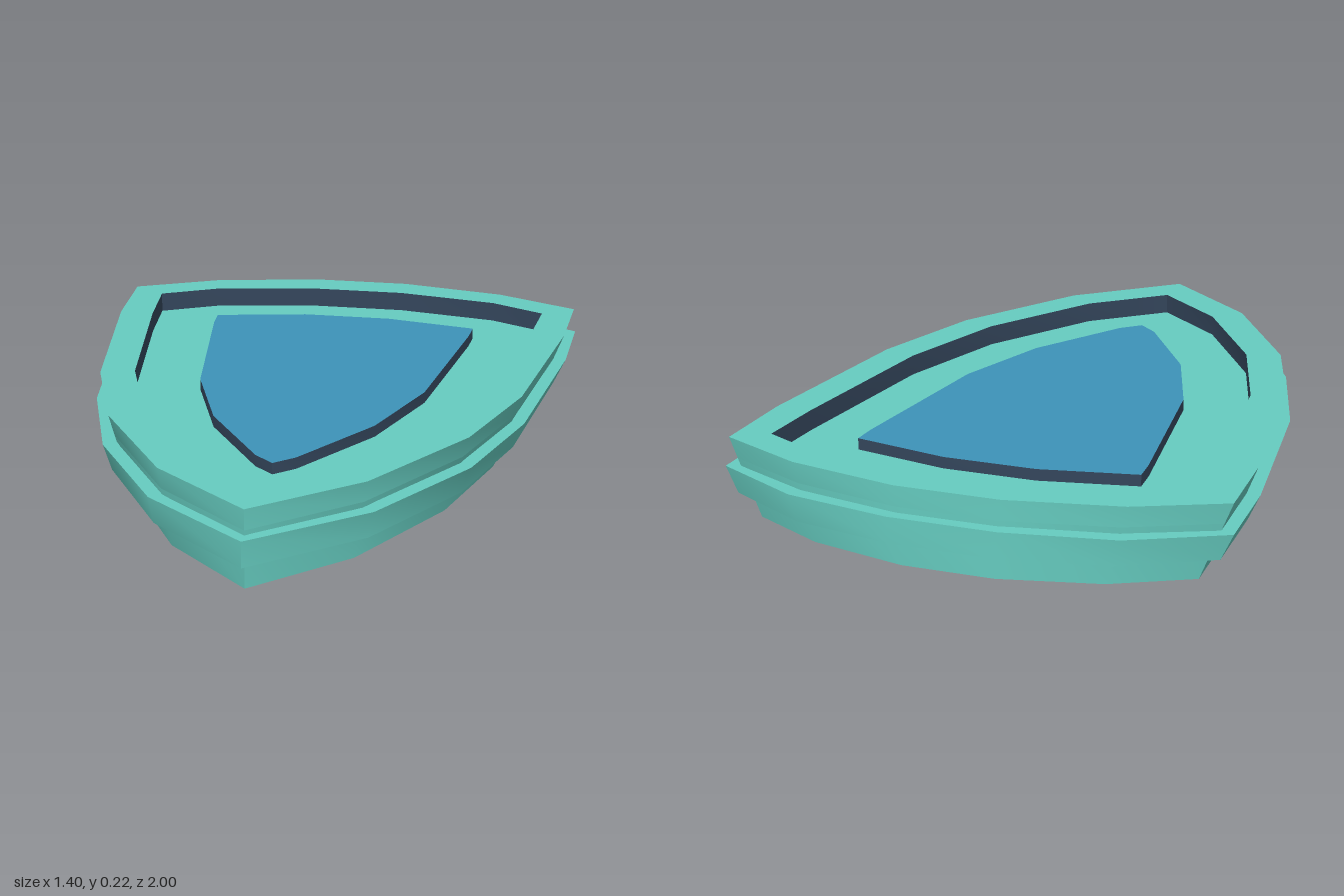
import * as THREE from 'three';
import { toCreasedNormals } from 'three/addons/utils/BufferGeometryUtils.js';

const CREASE = 0.6;
const teal = new THREE.MeshStandardMaterial({ color: 0x66ccc0 });
const blue = new THREE.MeshStandardMaterial({ color: 0x3d93b8 });
const navy = new THREE.MeshStandardMaterial({ color: 0x34465c });

// Half outlines as [x, z], from the middle of the back edge round to the tip
const bandHalf = [[0.15, -1], [0.45, -0.94], [0.7, -0.805], [0.69, -0.53], [0.615, 0.04], [0.505, 0.4], [0.295, 0.75], [0, 1]];
const bodyHalf = [[0.145, -0.963], [0.455, -0.9], [0.694, -0.79], [0.683, -0.53], [0.605, 0.03], [0.495, 0.37], [0.275, 0.725], [0, 0.96]];
const holeHalf = [[0.145, -0.865], [0.44, -0.81], [0.6, -0.73], [0.583, -0.53], [0.51, 0], [0.4, 0.34], [0.2, 0.66], [0, 0.83]];
const plateHalf = [[0.13, -0.675], [0.398, -0.622], [0.394, -0.55], [0.325, -0.03], [0.225, 0.26], [0.055, 0.53], [0, 0.58]];

const mirror = (half) => [...half, ...half.slice(0, -1).reverse().map(([x, z]) => [-x, z])];
const toPoints = (outline) => outline.map(([x, z]) => new THREE.Vector2(x, -z));

function addMesh(group, name, geometry, material) {
  const mesh = new THREE.Mesh(geometry, material);
  mesh.name = name;
  group.add(mesh);
}

// Solid slab between two heights; its width is scaled at bottom and top, and its sides may droop
function slab(outline, y0, y1, lowScale = 1, highScale = 1, droop = 0) {
  const geo = new THREE.ExtrudeGeometry(new THREE.Shape(toPoints(outline)), { depth: y1 - y0, bevelEnabled: false });
  geo.rotateX(-Math.PI / 2);
  const p = geo.attributes.position;
  for (let i = 0; i < p.count; i++) {
    const t = p.getY(i) / (y1 - y0);
    const x = p.getX(i) * THREE.MathUtils.lerp(lowScale, highScale, t);
    p.setXYZ(i, x, p.getY(i) + y0 - droop * Math.abs(x), p.getZ(i));
  }
  return toCreasedNormals(geo, CREASE);
}

// Open wall round an outline; a reversed outline faces inward
function wall(outline, y0, y1, lowScale = 1) {
  const pos = [];
  outline.forEach(([ax, az], i) => {
    const [bx, bz] = outline[(i + 1) % outline.length];
    const a0 = [ax * lowScale, y0, az], b0 = [bx * lowScale, y0, bz];
    const a1 = [ax, y1, az], b1 = [bx, y1, bz];
    pos.push(...a0, ...b1, ...b0, ...a0, ...a1, ...b1);
  });
  const geo = new THREE.BufferGeometry();
  geo.setAttribute('position', new THREE.Float32BufferAttribute(pos, 3));
  return toCreasedNormals(geo, CREASE);
}

export function createModel() {
  const group = new THREE.Group();
  group.name = 'shield';
  const [band, body, hole, plate] = [bandHalf, bodyHalf, holeHalf, plateHalf].map(mirror);
  const floorY = 0.158, topY = 0.215, footScale = 0.875;
  const floorScale = THREE.MathUtils.lerp(footScale, 1, floorY / topY);

  // Tapered body, its top forming the recess floor
  addMesh(group, 'body', slab(body, 0, floorY, footScale, floorScale), teal);

  // Raised rim: outer wall, dark inner wall and flat top
  const rim = new THREE.Group();
  rim.name = 'rim';
  addMesh(rim, 'rimOuterWall', wall(body, floorY, topY, floorScale), teal);
  addMesh(rim, 'rimInnerWall', wall([...hole].reverse(), floorY, topY), navy);
  const topShape = new THREE.Shape(toPoints(body));
  topShape.holes.push(new THREE.Path(toPoints(hole)));
  const top = new THREE.ShapeGeometry(topShape);
  top.rotateX(-Math.PI / 2).translate(0, topY, 0);
  addMesh(rim, 'rimTop', top, teal);
  group.add(rim);

  // Wider band round the middle
  addMesh(group, 'middleBand', slab(band, 0.073, 0.145, 0.952, 1, 0.01), teal);

  // Raised centre plate with dark sides
  addMesh(group, 'centrePlate', slab(plate, floorY, 0.19), [blue, navy]);
  return group;
}
